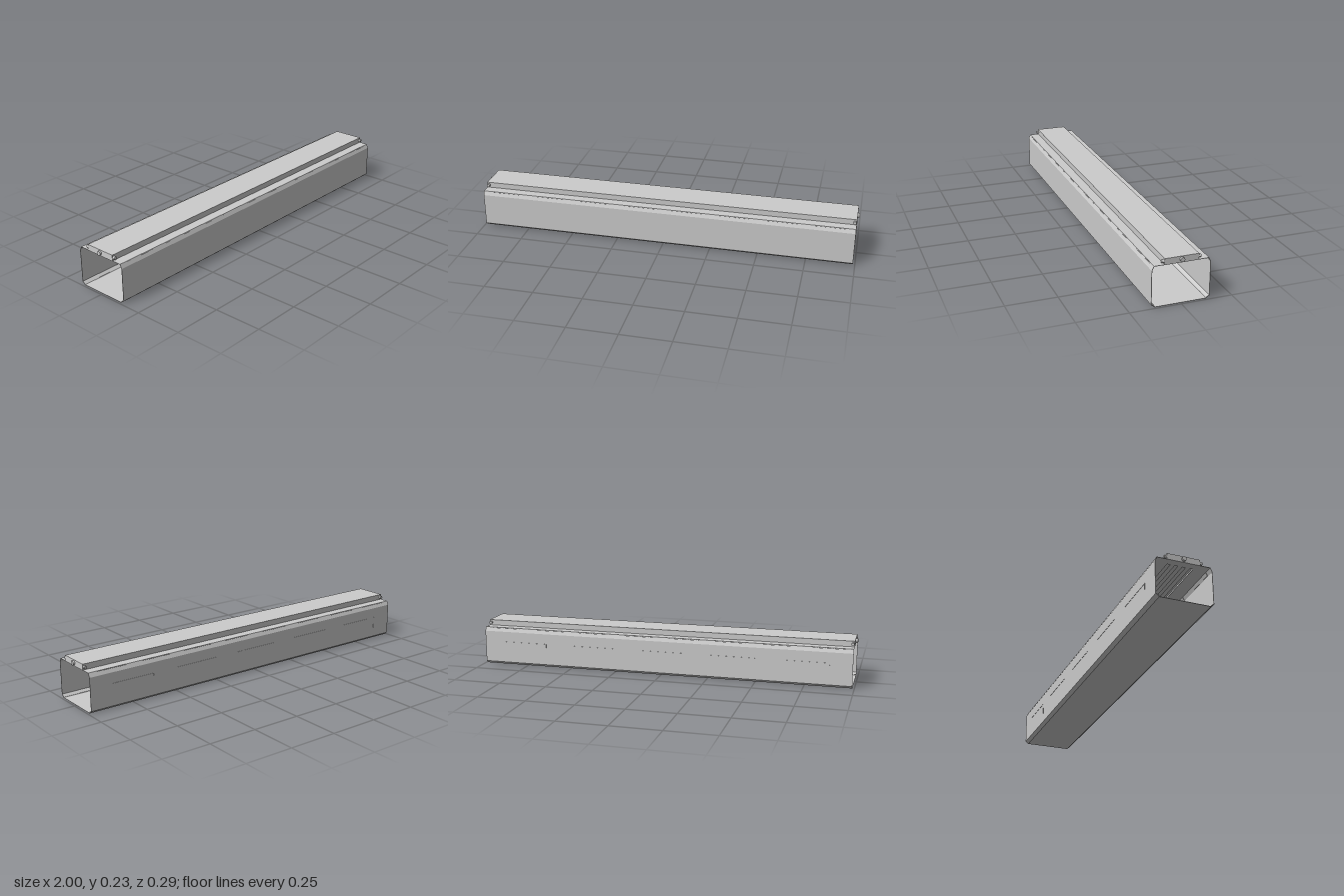
import * as THREE from 'three';

const L = 1.98, T = 0.002;

export function createModel() {
  const root = new THREE.Group();
  const mat = new THREE.MeshStandardMaterial({ color: 0xcccccc, flatShading: true, side: THREE.DoubleSide });

  const add = (name, geo, x = 0, y = 0, z = 0, parent = root) => {
    const m = new THREE.Mesh(geo, mat);
    m.name = name;
    m.position.set(x, y, z);
    parent.add(m);
    return m;
  };

  // Thin sheet running along x between two [z, y] section points; holes are [x0, x1, v0, v1]
  const panel = (name, [z0, y0], [z1, y1], holes = []) => {
    const v = new THREE.Vector3(0, y1 - y0, z1 - z0);
    const h = v.length();
    v.normalize();
    const rect = (P, a, b, c, d) => new P([[a, c], [b, c], [b, d], [a, d]].map(p => new THREE.Vector2(...p)));
    const shape = rect(THREE.Shape, -L / 2, L / 2, 0, h);
    for (const [a, b, c, d] of holes) shape.holes.push(rect(THREE.Path, a, b, c, d));
    const geo = new THREE.ExtrudeGeometry(shape, { depth: T, bevelEnabled: false });
    const u = new THREE.Vector3(1, 0, 0);
    const n = u.clone().cross(v);
    geo.translate(0, 0, -T);
    geo.applyMatrix4(new THREE.Matrix4().makeBasis(u, v, n).setPosition(0, y0, z0));
    add(name, geo);
  };

  // Slits along the upper bends and long slots in the roof beneath the cover
  const bendSlits = [];
  for (let i = 0; i < 8; i++) {
    const c = (i - 3.5) * 0.248;
    bendSlits.push([c - 0.08, c + 0.08, 0.019, 0.022]);
  }
  const roofSlots = [];
  for (let i = 0; i < 4; i++) {
    const c = 0.133 + (i - 1.5) * 0.038;
    roofSlots.push([-0.95, 0.95, c - 0.008, c + 0.008]);
  }

  // Open-ended duct with bevelled corners
  const section = [
    ['frontWall', 0.143, 0.014], ['frontUpperBend', 0.143, 0.182, bendSlits],
    ['roof', 0.133, 0.203, roofSlots], ['backUpperBend', -0.133, 0.203],
    ['backWall', -0.143, 0.182], ['backLowerBend', -0.143, 0.014],
    ['floor', -0.126, 0], ['frontLowerBend', 0.126, 0],
  ];
  section.forEach(([name, z, y, holes], i) => {
    const [, z1, y1] = section[(i + 1) % section.length];
    const slits = name === 'backUpperBend' ? bendSlits.map(([a, b]) => [a, b, 0.001, 0.004]) : holes;
    panel(name, [z, y], [z1, y1], slits);
  });

  // Short folded tabs behind the bends
  for (const s of [-1, 1]) {
    for (let i = 0; i < 8; i++) {
      const tab = add('bendTab', new THREE.BoxGeometry(0.16, 0.018, T), (i - 3.5) * 0.248, 0.191, s * 0.1345);
      tab.rotation.x = -s * 0.44;
    }
    const lip = add('lowerBendLip', new THREE.BoxGeometry(L, 0.016, T), 0, 0.0085, s * 0.132);
    lip.rotation.x = s * 0.88;
  }

  // Seam beads on the back wall, two of them hooked downwards
  for (let i = -2; i <= 2; i++) {
    const x = i * 0.378;
    add('backSeam', new THREE.BoxGeometry(0.24, 0.003, 0.002), x, 0.126, -0.1435);
  }
  for (const x of [0.638, -0.874]) add('backSeamHook', new THREE.BoxGeometry(0.003, 0.062, 0.002), x, 0.096, -0.1435);

  // Cover on the roof, open underneath
  const cover = new THREE.Group();
  cover.name = 'cover';
  root.add(cover);
  add('coverTop', new THREE.BoxGeometry(L, T, 0.166), 0, 0.231, 0, cover);
  for (const s of [-1, 1]) {
    add('coverSide', new THREE.BoxGeometry(L, 0.028, T), 0, 0.217, s * 0.082, cover);
    add('coverEnd', new THREE.BoxGeometry(T, 0.028, 0.166), s * 0.989, 0.217, 0, cover);

    // Studs at the ends and at the corners of the sides
    const endStud = new THREE.CylinderGeometry(0.011, 0.011, 0.012, 24).rotateZ(Math.PI / 2);
    add('endStud', endStud, s * 0.994, 0.217, 0, cover);
    for (const e of [-1, 1]) {
      const stud = new THREE.CylinderGeometry(0.008, 0.008, 0.014, 20).rotateX(Math.PI / 2);
      add('sideStud', stud, e * 0.981, 0.217, s * 0.088, cover);
    }
  }

  return root;
}
